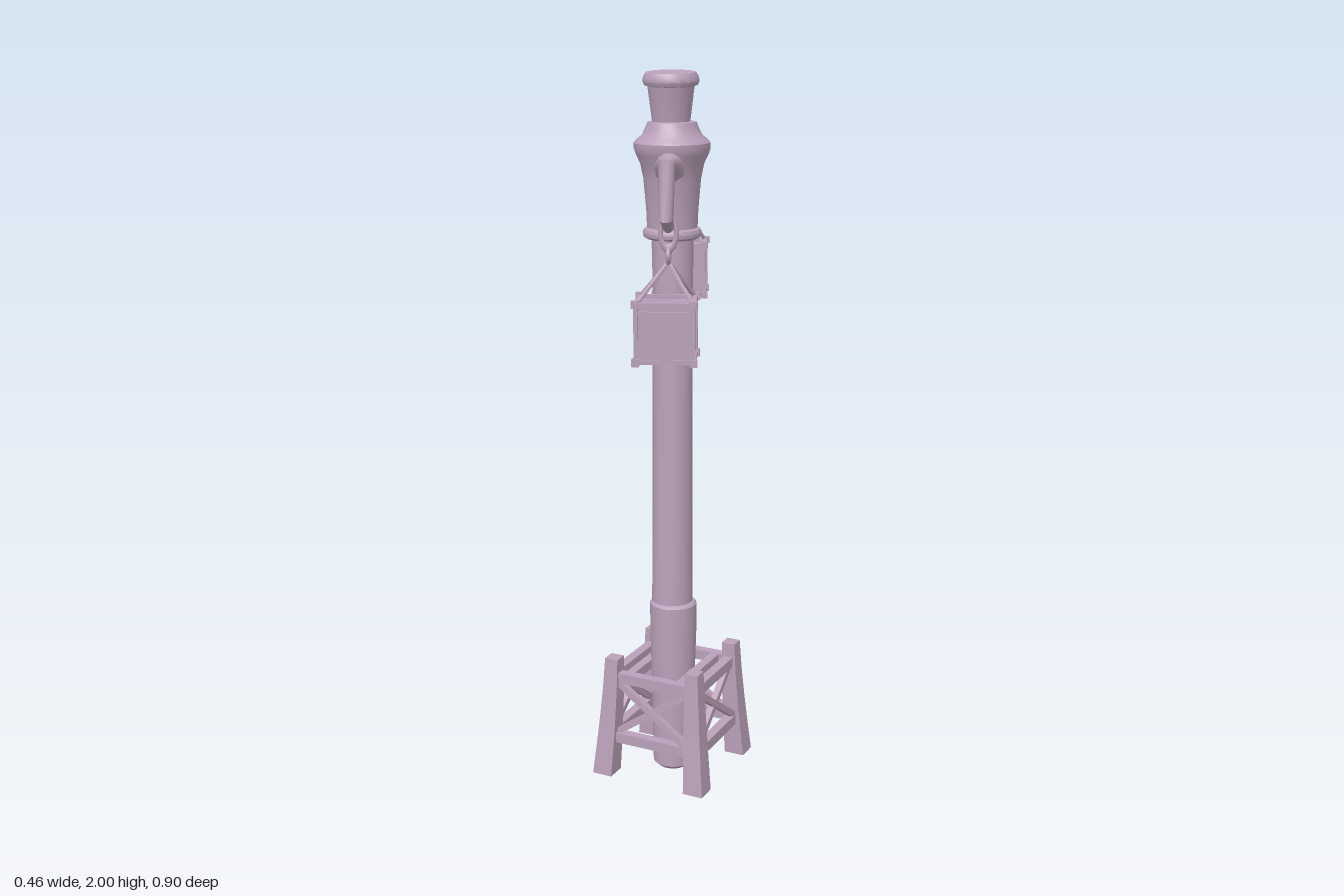
import * as THREE from 'three';
import { toCreasedNormals } from 'three/addons/utils/BufferGeometryUtils.js';

const material = new THREE.MeshStandardMaterial({ color: 0xb9a1b9 });

function add(parent, name, geometry, x = 0, y = 0, z = 0) {
  const mesh = new THREE.Mesh(geometry, material);
  mesh.name = name;
  mesh.position.set(x, y, z);
  parent.add(mesh);
  return mesh;
}

// Loft of elliptical rings; station = [outerZ, outerY, innerZ, innerY, halfWidthX, centreX]
function loft(stations, sides, crease = 0.7) {
  const pos = [], index = [], n = stations.length;
  for (const [oz, oy, iz, iy, hx, cx] of stations) {
    for (let j = 0; j < sides; j++) {
      const a = (j / sides) * Math.PI * 2, c = Math.cos(a), s = Math.sin(a);
      pos.push(cx + hx * c, (oy + iy) / 2 + (s * (oy - iy)) / 2, (oz + iz) / 2 + (s * (oz - iz)) / 2);
    }
  }
  for (let i = 0; i < n - 1; i++) {
    for (let j = 0; j < sides; j++) {
      const k = (j + 1) % sides, a = i * sides + j, b = i * sides + k;
      index.push(a, b, b + sides, a, b + sides, a + sides);
    }
  }
  const last = (n - 1) * sides;
  for (let j = 1; j < sides - 1; j++) {
    index.push(0, j + 1, j, last, last + j, last + j + 1);
  }
  const g = new THREE.BufferGeometry();
  g.setAttribute('position', new THREE.Float32BufferAttribute(pos, 3));
  g.setIndex(index);
  return toCreasedNormals(g, crease);
}

// Upright round post through [y, radius, z] points
const post = (points, x) => loft(points.map(([y, r, z]) => [z - r, y, z + r, y, r, x]), 24);

const lathe = (points, sides) =>
  toCreasedNormals(new THREE.LatheGeometry(points.map(([r, y]) => new THREE.Vector2(r, y)), sides), 0.6);

// Bar between two points; 4 sides gives a square beam, more a round rod
function bar(parent, name, from, to, radius, sides = 4) {
  const a = new THREE.Vector3(...from), b = new THREE.Vector3(...to);
  const g = new THREE.CylinderGeometry(radius, radius, a.distanceTo(b), sides);
  if (sides === 4) g.rotateY(Math.PI / 4);
  const mesh = add(parent, name, toCreasedNormals(g, 0.9));
  mesh.position.copy(a).add(b).multiplyScalar(0.5);
  mesh.quaternion.setFromUnitVectors(new THREE.Vector3(0, 1, 0), b.sub(a).normalize());
}

// Splayed trestle of four legs, rails and cross braces
function trestle() {
  const group = new THREE.Group();
  group.name = 'baseTrestle';
  const spread = (y) => 0.127 + 0.019 * Math.pow(1 - y / 0.355, 1.4);
  for (const sx of [-1, 1]) {
    for (const sz of [-1, 1]) {
      const g = new THREE.BoxGeometry(1, 0.355, 1, 1, 4, 1).translate(0, 0.1775, 0);
      const p = g.attributes.position;
      for (let i = 0; i < p.count; i++) {
        const y = Math.min(Math.max(p.getY(i), 0), 0.355), w = 0.06 - 0.02 * (y / 0.355), c = spread(y);
        p.setXYZ(i, sx * c + p.getX(i) * w, y, sz * c + p.getZ(i) * w);
      }
      add(group, 'trestleLeg', toCreasedNormals(g, 0.5));
    }
  }
  for (let i = 0; i < 4; i++) {
    const side = new THREE.Group();
    side.name = 'trestleSide';
    side.rotation.y = (i * Math.PI) / 2;
    const hi = spread(0.3), lo = spread(0.115);
    add(side, 'upperRail', new THREE.BoxGeometry(2 * hi, 0.03, 0.028), 0, 0.298, hi);
    add(side, 'lowerRail', new THREE.BoxGeometry(2 * lo, 0.03, 0.028), 0, 0.115, lo);
    for (const s of [-1, 1]) {
      bar(side, 'crossBrace', [-s * 0.118, 0.125, lo - 0.004 * s], [s * 0.118, 0.288, hi - 0.004 * s], 0.013);
    }
    group.add(side);
  }
  // Beams clasping the post
  for (const s of [-1, 1]) {
    add(group, 'innerBeam', new THREE.BoxGeometry(0.026, 0.028, 0.25), s * 0.08, 0.298, 0);
  }
  group.rotation.y = -0.4;
  return group;
}

// Slatted crate hanging on a chain; origin at the crate's centre
function hangingCrate() {
  const group = new THREE.Group();
  group.name = 'hangingCrate';
  const h = 0.071;
  add(group, 'crateBody', new THREE.BoxGeometry(0.144, 0.126, 0.144), 0, -0.009, 0);
  for (let i = 0; i < 5; i++) {
    add(group, 'lidSlat', new THREE.BoxGeometry(0.14, 0.012, 0.021), 0, 0.06, (i - 2) * 0.027);
  }
  for (const a of [-h, h]) {
    for (const b of [-h, h]) {
      add(group, 'edgeBarX', new THREE.BoxGeometry(2 * h, 0.011, 0.011), 0, a, b);
      add(group, 'edgeBarY', new THREE.BoxGeometry(0.011, 2 * h, 0.011), a, 0, b);
      add(group, 'edgeBarZ', new THREE.BoxGeometry(0.011, 0.011, 2 * h), a, b, 0);
      for (const y of [-h, h]) {
        add(group, 'cornerBlock', new THREE.BoxGeometry(0.019, 0.019, 0.019), a * 1.02, y * 1.02, b * 1.02);
      }
      bar(group, 'sling', [a, h, b], [0.006, 0.168, 0], 0.0055, 6);
    }
  }
  // Chain: round ring under a long link
  const ring = add(group, 'chainRing', new THREE.TorusGeometry(0.018, 0.006, 8, 16), 0.006, 0.184, 0);
  ring.rotation.y = Math.PI / 2;
  const link = add(group, 'chainLink', new THREE.TorusGeometry(0.02, 0.006, 8, 16), 0.006, 0.24, 0);
  link.scale.y = 1.95;
  return group;
}

export function createModel() {
  const model = new THREE.Group();
  model.name = 'lampPost';
  model.add(trestle());

  // Gently bent post with a thicker foot sleeve
  add(model, 'postSleeve', post([[0, 0.045, 0.012], [0.012, 0.058, 0.012], [0.25, 0.062, 0.009],
    [0.42, 0.067, 0.008], [0.505, 0.067, 0.008], [0.512, 0.06, 0.006]], 0));
  add(model, 'postShaft', post([[0.45, 0.059, 0.006], [0.7, 0.057, 0.0], [0.95, 0.056, -0.006],
    [1.2, 0.056, -0.014], [1.4, 0.056, -0.018], [1.62, 0.057, -0.018]], -0.003));

  // Head: collar ring, flared body and shoulder
  const head = add(model, 'postHead', lathe([[0, 0], [0.07, 0], [0.079, 0.006], [0.081, 0.016], [0.077, 0.026],
    [0.069, 0.03], [0.071, 0.08], [0.078, 0.16], [0.086, 0.2], [0.098, 0.225], [0.103, 0.24], [0.103, 0.256],
    [0.096, 0.265], [0.082, 0.275], [0.072, 0.295], [0.066, 0.31], [0, 0.312]], 24), -0.004, 1.552, -0.016);
  head.rotation.x = 0.04;
  const cap = add(model, 'postCap', lathe([[0, -0.02], [0.05, -0.02], [0.051, 0.01], [0.063, 0.106], [0.072, 0.108],
    [0.076, 0.118], [0.074, 0.13], [0.067, 0.141], [0, 0.142]], 16), -0.007, 1.85, -0.016);
  cap.rotation.x = 0.09;

  // Front arm, ending in a barbed hook
  add(model, 'frontArm', loft([
    [0.05, 1.805, 0.05, 1.69, 0.05, -0.006], [0.09, 1.787, 0.09, 1.728, 0.032, -0.006],
    [0.125, 1.777, 0.125, 1.741, 0.019, -0.005], [0.21, 1.772, 0.21, 1.744, 0.014, -0.003],
    [0.34, 1.782, 0.34, 1.746, 0.017, 0.002], [0.434, 1.79, 0.395, 1.745, 0.021, 0.007],
    [0.455, 1.64, 0.415, 1.663, 0.018, 0.007], [0.35, 1.605, 0.362, 1.64, 0.015, 0.007],
    [0.317, 1.622, 0.342, 1.648, 0.013, 0.007], [0.307, 1.69, 0.33, 1.672, 0.011, 0.007],
    [0.366, 1.688, 0.364, 1.682, 0.004, 0.007]], 10));

  // Back arm, rising to a curled hook (negative widths keep the faces outward)
  add(model, 'backArm', loft([
    [-0.07, 1.81, -0.07, 1.69, -0.05, -0.006], [-0.115, 1.793, -0.115, 1.73, -0.032, -0.006],
    [-0.15, 1.793, -0.15, 1.752, -0.021, -0.007], [-0.23, 1.81, -0.23, 1.778, -0.016, -0.009],
    [-0.33, 1.836, -0.33, 1.796, -0.021, -0.011], [-0.444, 1.872, -0.402, 1.815, -0.027, -0.011],
    [-0.452, 1.8, -0.407, 1.785, -0.022, -0.005], [-0.423, 1.65, -0.388, 1.698, -0.018, 0.005],
    [-0.312, 1.665, -0.332, 1.697, -0.015, 0.007], [-0.286, 1.715, -0.316, 1.715, -0.013, 0.007],
    [-0.325, 1.755, -0.331, 1.734, -0.011, 0.007], [-0.366, 1.725, -0.358, 1.72, -0.004, 0.007]], 10));

  // Crates on both arms
  for (const [y, z] of [[1.366, 0.353], [1.428, -0.352]]) {
    const crate = hangingCrate();
    crate.position.set(0.002, y, z);
    model.add(crate);
  }
  return model;
}
